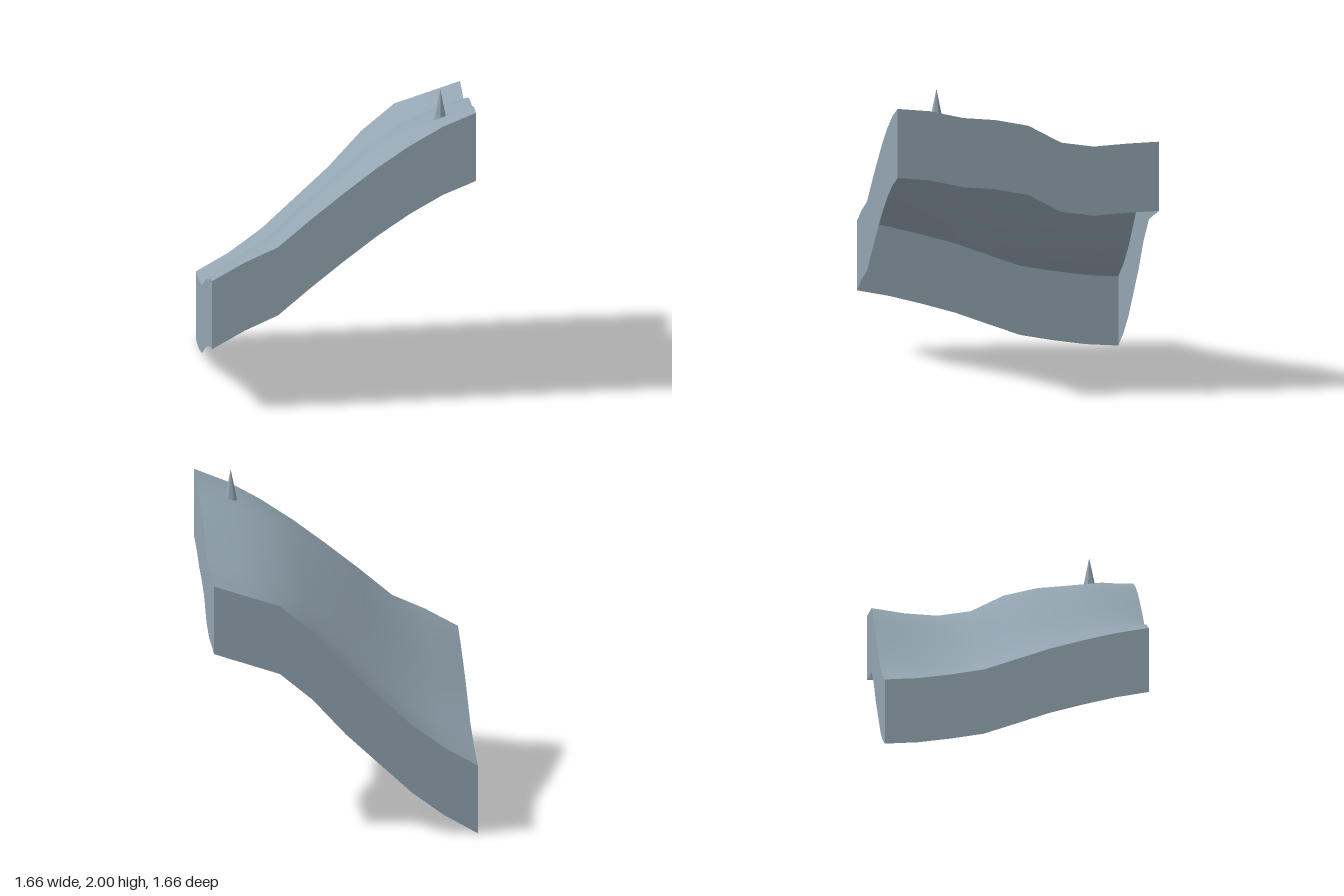
import * as THREE from 'three';

const N = 8, HALF = 0.828, DEPTH = 0.443;

// Surface heights along the four edges, from -x to +x or from -z to +z
const FRONT = [0.855, 0.973, 1.068, 1.245, 1.413, 1.573, 1.715, 1.835, 1.922];
const BACK = [0.447, 0.568, 0.723, 0.918, 1.113, 1.343, 1.518, 1.588, 1.658];
const RIGHT = [0.447, 0.463, 0.495, 0.535, 0.613, 0.692, 0.755, 0.812, 0.855];
const LEFT = [1.658, 1.652, 1.64, 1.672, 1.787, 1.83, 1.85, 1.9, 1.922];

const at = (i) => -HALF + (2 * HALF * i) / N;

// Blend the edge profiles inward, with a ridge near the front and a dip near the back
function height(i, j) {
  const s = i / N, t = j / N, u = 2 * s - 1, v = 2 * t - 1;
  const { lerp } = THREE.MathUtils;
  const corners = lerp(lerp(BACK[0], BACK[N], s), lerp(FRONT[0], FRONT[N], s), t);
  const swell = 0.13 * Math.pow(1 - u * u, 1.5) * (1 - v * v) * (v + 0.3);
  return lerp(BACK[i], FRONT[i], t) + lerp(RIGHT[j], LEFT[j], s) - corners + swell;
}

function terrainGeometry() {
  const geo = new THREE.PlaneGeometry(2 * HALF, 2 * HALF, N, N).rotateX(-Math.PI / 2);
  const pos = geo.attributes.position;
  for (let j = 0; j <= N; j++)
    for (let i = 0; i <= N; i++) pos.setY(j * (N + 1) + i, height(i, j));
  geo.computeVertexNormals();
  return geo;
}

// Vertical strip hanging from one edge; cell(k) gives the grid cell along it
function skirtGeometry(cell) {
  const points = [], index = [];
  for (let k = 0; k <= N; k++) {
    const [i, j] = cell(k);
    const y = height(i, j);
    points.push(at(i), y, at(j), at(i), Math.max(0, y - DEPTH), at(j));
    if (k < N) {
      const a = 2 * k;
      index.push(a, a + 1, a + 2, a + 2, a + 1, a + 3);
    }
  }
  const geo = new THREE.BufferGeometry();
  geo.setAttribute('position', new THREE.Float32BufferAttribute(points, 3));
  geo.setIndex(index);
  geo.computeVertexNormals();
  return geo;
}

export function createModel() {
  const group = new THREE.Group();
  group.name = 'terrainTile';
  const stone = new THREE.MeshStandardMaterial({ color: 0x93a5b1, side: THREE.DoubleSide });
  stone.name = 'blueGreyStone';
  const spikeStone = stone.clone();
  spikeStone.flatShading = true;

  const add = (name, geo, mat = stone) => {
    const mesh = new THREE.Mesh(geo, mat);
    mesh.name = name;
    group.add(mesh);
    return mesh;
  };

  // Sloping ground
  add('ground', terrainGeometry());

  // Side walls, open underneath
  add('frontSkirt', skirtGeometry((k) => [k, N]));
  add('backSkirt', skirtGeometry((k) => [N - k, 0]));
  add('leftSkirt', skirtGeometry((k) => [N, N - k]));
  add('rightSkirt', skirtGeometry((k) => [0, k]));

  // Small faceted spike standing on the high corner
  const spike = add('spike', new THREE.ConeGeometry(0.042, 0.205, 7), spikeStone);
  spike.position.set(0.62, 1.8975, 0.55);

  return group;
}
